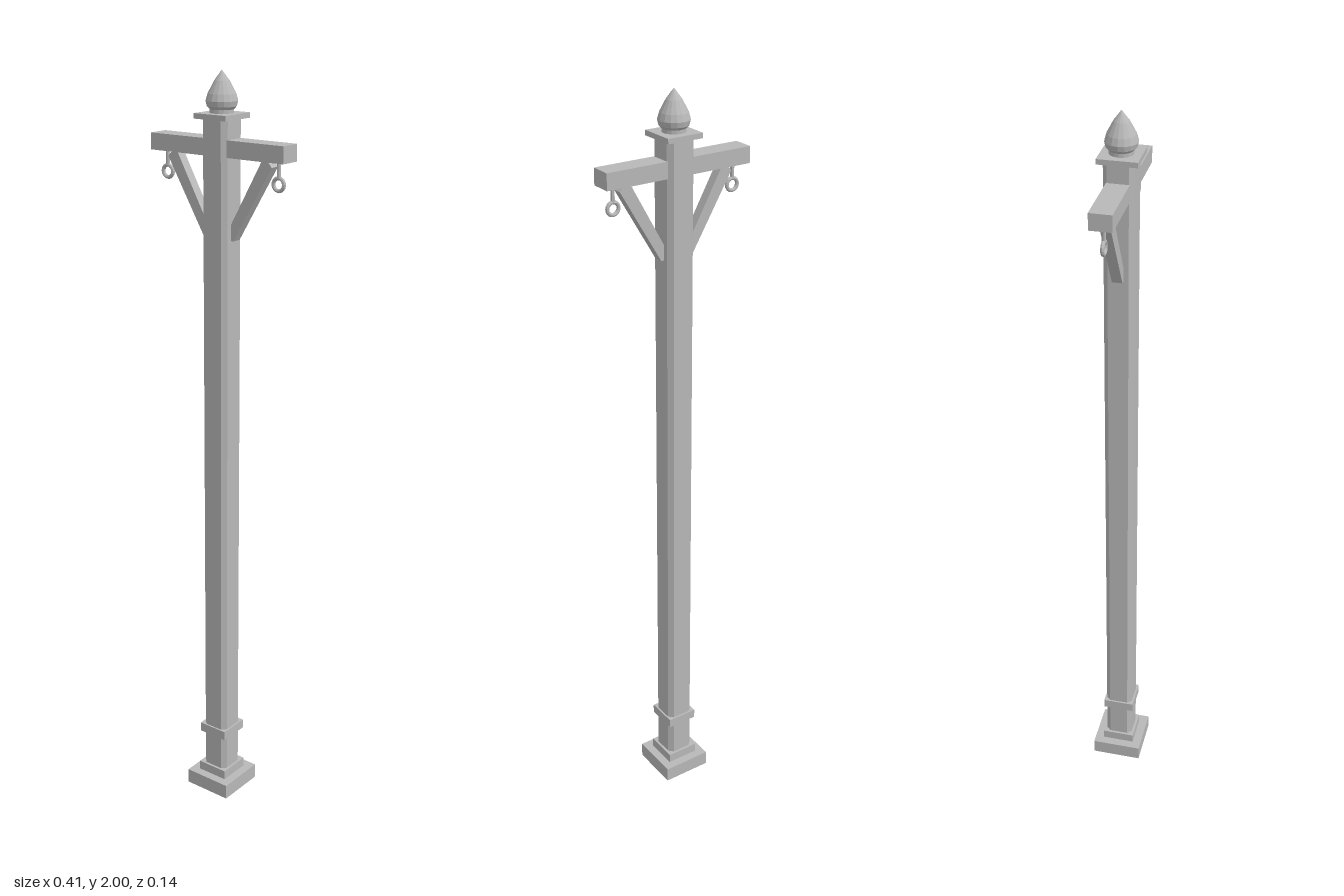
import * as THREE from 'three';

export function createModel() {
  const model = new THREE.Group();
  const grey = new THREE.MeshStandardMaterial({ color: 0xb8b8b8, flatShading: true });
  grey.name = 'grey';

  const add = (name, geometry, x = 0, y = 0, z = 0) => {
    const mesh = new THREE.Mesh(geometry, grey);
    mesh.name = name;
    mesh.position.set(x, y, z);
    model.add(mesh);
    return mesh;
  };
  // square block between two heights
  const block = (name, halfX, y0, y1, halfZ = halfX) =>
    add(name, new THREE.BoxGeometry(halfX * 2, y1 - y0, halfZ * 2), 0, (y0 + y1) / 2, 0);
  const shapeOf = (points) => new THREE.Shape(points.map(([x, y]) => new THREE.Vector2(x, y)));

  // stepped foot and collar
  block('base', 0.069, 0, 0.042);
  block('plinth', 0.045, 0.042, 0.068);
  block('collar', 0.043, 0.17, 0.196);

  // post with chamfered corners
  const h = 0.038, k = 0.026;
  const section = shapeOf([[h, -k], [h, k], [k, h], [-k, h], [-h, k], [-h, -k], [-k, -h], [k, -h]]);
  const post = new THREE.ExtrudeGeometry(section, { depth: 1.85, bevelEnabled: false });
  post.rotateX(-Math.PI / 2);
  add('post', post, 0, 0.04, 0);

  // cap and pointed finial
  block('cap', 0.049, 1.886, 1.899);
  const profile = [[0, 1.899], [0.03, 1.899], [0.03, 1.908], [0.037, 1.915], [0.04, 1.928],
    [0.035, 1.945], [0.019, 1.975], [0, 2]].map(([r, y]) => new THREE.Vector2(r, y));
  add('finial', new THREE.LatheGeometry(profile, 16));

  // crossbeam
  block('crossbeam', 0.204, 1.797, 1.839, 0.028);

  // braces and hanging rings on both sides
  for (const side of [-1, 1]) {
    const outline = [[0.036, 1.628], [0.036, 1.592], [0.046, 1.592], [0.16, 1.783], [0.146, 1.799], [0.132, 1.799]];
    const brace = new THREE.ExtrudeGeometry(shapeOf(outline.map(([x, y]) => [x * side, y])),
      { depth: 0.026, bevelEnabled: false });
    add('brace', brace, 0, 0, -0.013);
    add('ringShank', new THREE.CylinderGeometry(0.005, 0.005, 0.04, 8), side * 0.172, 1.779, 0);
    add('ring', new THREE.TorusGeometry(0.0155, 0.005, 8, 16), side * 0.172, 1.743, 0);
  }
  return model;
}
